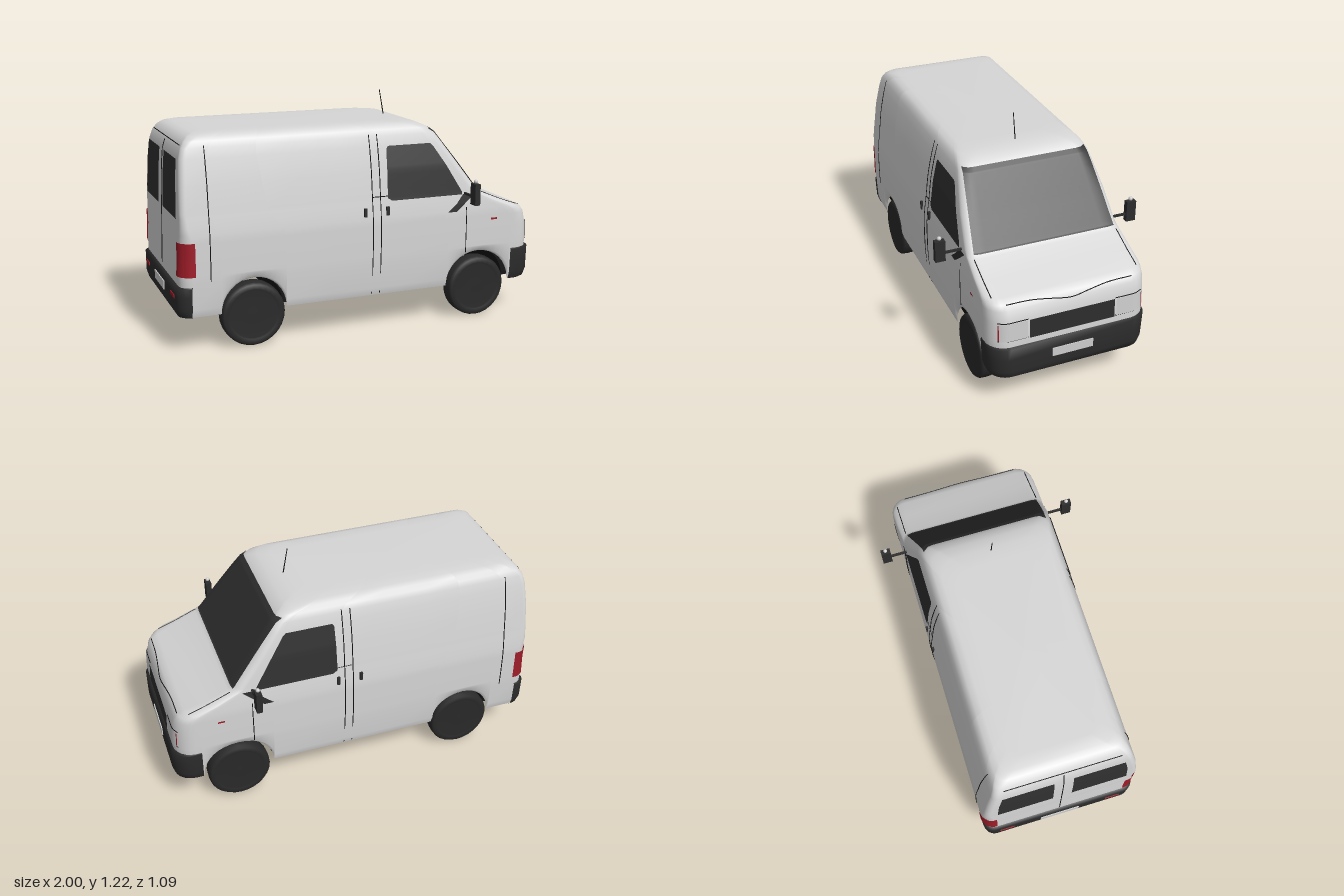
import * as THREE from 'three';

const mat = (name, color) => {
  const m = new THREE.MeshStandardMaterial({ color, side: THREE.DoubleSide });
  m.name = name;
  return m;
};

// Body levels from sill to roof: y, back x, front x, half width, corner radius
const LEVELS = [
  [0.19, -0.97, 0.97, 0.4, 0.09], [0.23, -0.98, 0.98, 0.412, 0.1], [0.36, -0.98, 0.98, 0.418, 0.1],
  [0.4, -0.98, 0.98, 0.42, 0.1], [0.5, -0.975, 0.975, 0.42, 0.1], [0.56, -0.975, 0.96, 0.42, 0.095],
  [0.585, -0.974, 0.94, 0.42, 0.09], [0.605, -0.973, 0.905, 0.418, 0.08], [0.64, -0.972, 0.8, 0.415, 0.06],
  [0.69, -0.97, 0.68, 0.408, 0.05], [0.71, -0.97, 0.65, 0.405, 0.05], [0.85, -0.965, 0.545, 0.388, 0.05],
  [0.97, -0.955, 0.457, 0.363, 0.05], [1.02, -0.94, 0.42, 0.35, 0.05], [1.05, -0.92, 0.385, 0.337, 0.06],
  [1.07, -0.895, 0.34, 0.318, 0.08], [1.08, -0.86, 0.28, 0.285, 0.1], [1.083, -0.8, 0.2, 0.22, 0.1],
];
const ARCHES = [{ x: -0.61, half: 0.17, h: 0.172 }, { x: 0.655, half: 0.19, h: 0.178 }];
const BACK_R = 0.6; // rear corners are tighter than front ones

function level(y) {
  let i = 0;
  while (i < LEVELS.length - 2 && y > LEVELS[i + 1][0]) i++;
  const a = LEVELS[i], b = LEVELS[i + 1];
  const t = THREE.MathUtils.clamp((y - a[0]) / (b[0] - a[0]), 0, 1);
  const [, xb, xf, w, r] = a.map((v, k) => v + (b[k] - v) * t);
  return { xb, xf, w, r };
}
const inset = (d, r) => (d <= 0 ? 0 : r - Math.sqrt(Math.max(0, r * r - d * d)));

// Points on the skin: side at (x, y), nose (end = 1) or tail (end = -1) at (y, z)
function sidePoint(s, x, y, d = 0.005) {
  const { xb, xf, w, r } = level(y);
  const z = w - inset(x - (xf - r), r) - inset(xb + BACK_R * r - x, BACK_R * r);
  return [x, y, s * (z + d)];
}
function endPoint(end, y, z, d = 0.006) {
  const { xb, xf, w, r } = level(y);
  const q = end > 0 ? r : r * BACK_R;
  const x = (end > 0 ? xf : -xb) - inset(Math.abs(z) - (w - q), q);
  return [end * (x + d), y, z];
}

// Smooth surface through rows of points
function grid(rows, closed = false) {
  const n = rows[0].length, idx = [];
  for (let v = 0; v < rows.length - 1; v++) {
    for (let u = 0; u < (closed ? n : n - 1); u++) {
      const u1 = (u + 1) % n, a = v * n + u, b = v * n + u1;
      idx.push(a, b, b + n, a, b + n, a + n);
    }
  }
  const g = new THREE.BufferGeometry();
  g.setAttribute('position', new THREE.Float32BufferAttribute(rows.flat(2), 3));
  g.setIndex(idx);
  g.computeVertexNormals();
  return g;
}

// Thin plate following the skin; rows are [y, start, end]
function plate(rows, point, cols = 24) {
  const out = [];
  for (let i = 0; i < rows.length - 1; i++) {
    for (let k = i ? 1 : 0; k <= 6; k++) {
      const [y, a, b] = rows[i].map((v, j) => v + (rows[i + 1][j] - v) * k / 6);
      out.push(Array.from({ length: cols + 1 }, (_, c) => point(y, a + (b - a) * c / cols)));
    }
  }
  return grid(out);
}
const sidePlate = (s, rows) => plate(rows, (y, x) => sidePoint(s, x, y)).scale(1, 1, 1);
const endPlate = (e, rows, d) => plate(rows, (y, z) => endPoint(e, y, z, d));

const archPoints = ({ x, half, h }) => Array.from({ length: 17 }, (_, k) => {
  const a = Math.PI * k / 16;
  return [x - half * Math.cos(a), 0.19 + h * Math.sin(a)];
});

function bodyGeometry() {
  const sill = [[-0.92, 0.19], ...archPoints(ARCHES[0]), [-0.2, 0.19], [0, 0.19], [0.2, 0.19],
    ...archPoints(ARCHES[1]), [0.88, 0.19]];
  const rows = LEVELS.map(([y, xb, xf, w, r]) => {
    const q = r * BACK_R, half = [];
    for (let k = 0; k < 6; k++) {
      const a = Math.PI / 2 * k / 6;
      half.push([xb + q - q * Math.cos(a), y, w - q + q * Math.sin(a)]);
    }
    for (const [cx, cy] of sill) {
      const x = xb + q + (xf - r - xb - q) * (cx + 0.92) / 1.8;
      half.push([x, y < 0.4 ? 0.4 - (0.4 - y) * (0.4 - cy) / 0.21 : y, w]);
    }
    for (let k = 1; k <= 6; k++) {
      const a = Math.PI / 2 * k / 6;
      half.push([xf - r + r * Math.sin(a), y, w - r + r * Math.cos(a)]);
    }
    return [...half, ...half.map(([x, h, z]) => [x, h, -z]).reverse()];
  });
  rows.push(rows[0].map(() => [-0.3, 1.085, 0]));
  return grid(rows, true);
}

// Wraparound bumper at one end, reaching back to x0 on the sides
function bumperGeometry(end, x0, top) {
  const levels = [[0.186, 0], [0.192, 0.9], [0.23, 1], [0.3, 1], [top - 0.008, 1], [top, -0.2]];
  return grid(levels.map(([y, k]) => {
    const { xb, xf, w, r } = level(y), q = end > 0 ? r : r * BACK_R;
    const tip = (end > 0 ? xf : -xb) + 0.016 * k, ww = w + 0.004 * k;
    const half = [[end * x0, y, ww]];
    for (let i = 0; i <= 8; i++) {
      const a = Math.PI / 2 * i / 8;
      half.push([end * (tip - q + q * Math.sin(a)), y, ww - q + q * Math.cos(a)]);
    }
    return [...half, ...half.map(([x, h, z]) => [x, h, -z]).reverse()];
  }));
}

export function createModel() {
  const van = new THREE.Group();
  van.name = 'van';
  const paint = mat('body paint', 0xd6d6d6), glass = mat('dark glass', 0x303030);
  const trim = mat('dark trim', 0x2c2c2c), rubber = mat('tyre rubber', 0x292929);
  const black = mat('seam black', 0x141414), red = mat('lamp red', 0x9e1c28);
  const lamp = mat('lamp and plate grey', 0xcdcdcd);
  const add = (name, geo, m, x = 0, y = 0, z = 0) => {
    const mesh = new THREE.Mesh(geo, m);
    mesh.name = name;
    mesh.position.set(x, y, z);
    van.add(mesh);
    return mesh;
  };
  const seam = (name, pts) => add(name, new THREE.TubeGeometry(
    new THREE.CatmullRomCurve3(pts.map((p) => new THREE.Vector3(...p))), 24, 0.0025, 5), black);

  add('bodyShell', bodyGeometry(), paint);

  // Dark floor with full-width wheel wells
  const floor = new THREE.Shape([[-0.95, 0.195], ...ARCHES.flatMap(archPoints), [0.95, 0.195], [0.95, 0.42], [-0.95, 0.42]]
    .map(([x, y]) => new THREE.Vector2(x, y)));
  add('floor', new THREE.ExtrudeGeometry(floor, { depth: 0.68, bevelEnabled: false }), black, 0, 0, -0.34);
  add('frontBumper', bumperGeometry(1, 0.85, 0.366), trim);
  add('rearBumper', bumperGeometry(-1, 0.925, 0.348), trim);

  // Nose and tail details
  add('windscreen', endPlate(1, [[0.705, -0.378, 0.378], [0.71, -0.377, 0.377], [0.85, -0.36, 0.36],
    [0.97, -0.344, 0.344], [1.02, -0.336, 0.336], [1.04, -0.332, 0.332]]), glass);
  add('grille', endPlate(1, [[0.4, -0.225, 0.225], [0.5, -0.225, 0.225]]), trim);
  add('frontPlate', new THREE.BoxGeometry(0.006, 0.046, 0.216), lamp, 0.998, 0.29, 0);
  add('rearPlate', new THREE.BoxGeometry(0.006, 0.046, 0.216), lamp, -0.998, 0.28, 0);
  seam('bonnetSeam', [-0.33, -0.2, -0.1, 0, 0.1, 0.2, 0.33].map((z) =>
    endPoint(1, 0.56 + 0.025 * Math.min(1, Math.abs(z) / 0.22), z, 0.001)));
  seam('rearDoorSeam', [0.37, 0.6, 0.8, 0.97, 1.02].map((y) => endPoint(-1, y, 0, 0.001)));
  seam('rearDoorTopSeam', [-0.3, -0.1, 0.1, 0.3].map((z) => endPoint(-1, 1.03, z, 0.001)));

  for (const s of [1, -1]) {
    const side = s > 0 ? 'left' : 'right';
    const span = (a, b) => [s * a, s * b];
    const rect = (y0, y1, a, b) => [[y0, a, b], [y1, a, b]];

    // Lamps
    add(side + 'Headlight', endPlate(1, rect(0.405, 0.5, ...span(0.235, 0.376))), lamp);
    add(side + 'Indicator', endPlate(1, rect(0.41, 0.495, ...span(0.376, 0.381)), 0.007), red);
    for (const y of [0.403, 0.502]) {
      seam(side + 'HeadlightEdge', [0.23, 0.3, 0.34, 0.38].map((z) => endPoint(1, y, s * z, 0.001)));
    }
    add(side + 'TailLightSide', sidePlate(s, rect(0.4, 0.57, -0.965, -0.905)), red);
    add(side + 'TailLightBack', endPlate(-1, rect(0.4, 0.57, ...span(0.35, 0.412))), red);
    add(side + 'Reflector', new THREE.BoxGeometry(0.006, 0.018, 0.08), red, -0.997, 0.29, s * 0.3);
    add(side + 'SideMarker', sidePlate(s, rect(0.539, 0.549, 0.72, 0.755)), red);

    // Glass
    add(side + 'RearWindow', endPlate(-1, [[0.68, ...span(0.05, 0.345)], [0.85, ...span(0.05, 0.335)],
      [0.97, ...span(0.05, 0.315)]]), glass);
    add(side + 'DoorWindow', sidePlate(s, [[0.69, 0.14, 0.545], [0.705, 0.115, 0.545], [0.85, 0.117, 0.458],
      [0.955, 0.12, 0.388], [0.97, 0.13, 0.372]]), glass);

    // Door seams and handles
    for (const [x, y0] of [[-0.83, 0.37], [0.03, 0.2], [0.075, 0.2]]) {
      seam(side + 'DoorSeam', [y0, 0.4, 0.6, 0.71, 0.85, 0.97, 1.03].map((y) => sidePoint(s, x, y, 0.0005)));
    }
    seam(side + 'FrontDoorSeam', [0.37, 0.45, 0.53, 0.62].map((y) => sidePoint(s, 0.572, y, 0)));
    seam(side + 'WaistSeam', [0.03, 0.07, 0.12].map((x) => sidePoint(s, x, 0.715, 0)));
    seam(side + 'BonnetSideSeam', [0.605, 0.64, 0.69].map((y) => endPoint(1, y, s * 0.383, 0.001)));
    for (const x of [-0.012, 0.112]) {
      add(side + 'DoorHandle', new THREE.BoxGeometry(0.016, 0.045, 0.012), trim, x, 0.64, s * 0.418);
    }

    // Mirror with arm and foot
    add(side + 'MirrorFoot', sidePlate(s, [[0.6, 0.46, 0.51], [0.64, 0.51, 0.56], [0.69, 0.55, 0.62]]), trim);
    add(side + 'MirrorArm', new THREE.BoxGeometry(0.012, 0.01, 0.11), trim, 0.565, 0.694, s * 0.45);
    add(side + 'Mirror', new THREE.BoxGeometry(0.03, 0.112, 0.052), trim, 0.565, 0.711, s * 0.52);
    add(side + 'MirrorKnob', new THREE.SphereGeometry(0.011, 12, 8), lamp, 0.565, 0.779, s * 0.52);

    // Wheels: tyre with a stepped hub face
    for (const { x } of ARCHES) {
      const profile = [[0, -0.04], [0.13, -0.04], [0.155, -0.042], [0.165, -0.03], [0.167, 0], [0.165, 0.03],
        [0.155, 0.042], [0.13, 0.043], [0.125, 0.036], [0, 0.038]].map(([r, y]) => new THREE.Vector2(r, y));
      const geo = new THREE.LatheGeometry(profile, 28).rotateX(s * Math.PI / 2);
      add(side + (x > 0 ? 'FrontWheel' : 'RearWheel'), geo, rubber, x, 0.167, s * 0.362);
    }
  }

  // Roof aerial leaning back
  const aerial = add('aerial', new THREE.CylinderGeometry(0.002, 0.003, 0.14, 6), black, 0.256, 1.147, 0);
  aerial.rotation.z = 0.18;
  return van;
}
